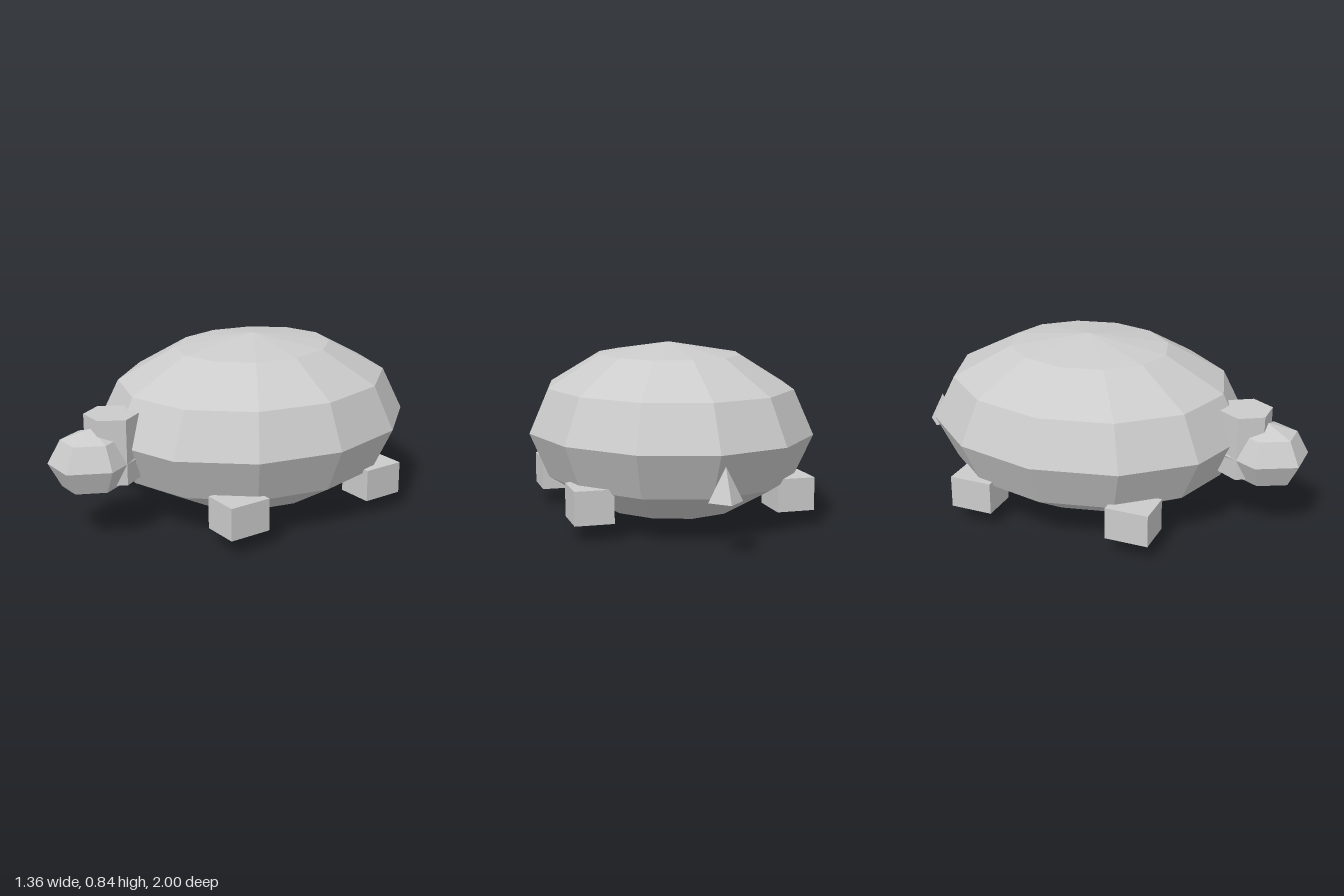
import * as THREE from 'three';

const material = new THREE.MeshStandardMaterial({ color: 0xcccccc, flatShading: true });

export function createModel() {
  const model = new THREE.Group();
  model.name = 'turtle';

  const add = (name, geometry, position, scale = [1, 1, 1]) => {
    const mesh = new THREE.Mesh(geometry, material);
    mesh.name = name;
    mesh.position.set(...position);
    mesh.scale.set(...scale);
    model.add(mesh);
    return mesh;
  };

  // Flattened faceted shell
  add('shell', new THREE.SphereGeometry(1, 12, 6), [0, 0.424, -0.078], [0.68, 0.419, 0.787]);

  // Hexagonal neck, corners pointing sideways
  const neck = new THREE.CylinderGeometry(1, 1, 1, 6).rotateY(Math.PI / 2);
  add('neck', neck, [0, 0.425, 0.715], [0.13, 0.31, 0.126]);

  // Six-sided head
  add('head', new THREE.SphereGeometry(1, 6, 4), [0, 0.37, 0.82], [0.183, 0.157, 0.208]);

  // Four block legs
  const leg = new THREE.BoxGeometry(0.18, 0.155, 0.207);
  for (const [side, x] of [['left', 0.475], ['right', -0.475]]) {
    add(`${side}FrontLeg`, leg, [x, 0.161, 0.345]);
    add(`${side}BackLeg`, leg, [x, 0.161, -0.448]);
  }

  // Pyramid tail
  add('tail', new THREE.ConeGeometry(0.077, 0.15, 4), [0, 0.315, -0.923]);

  return model;
}
